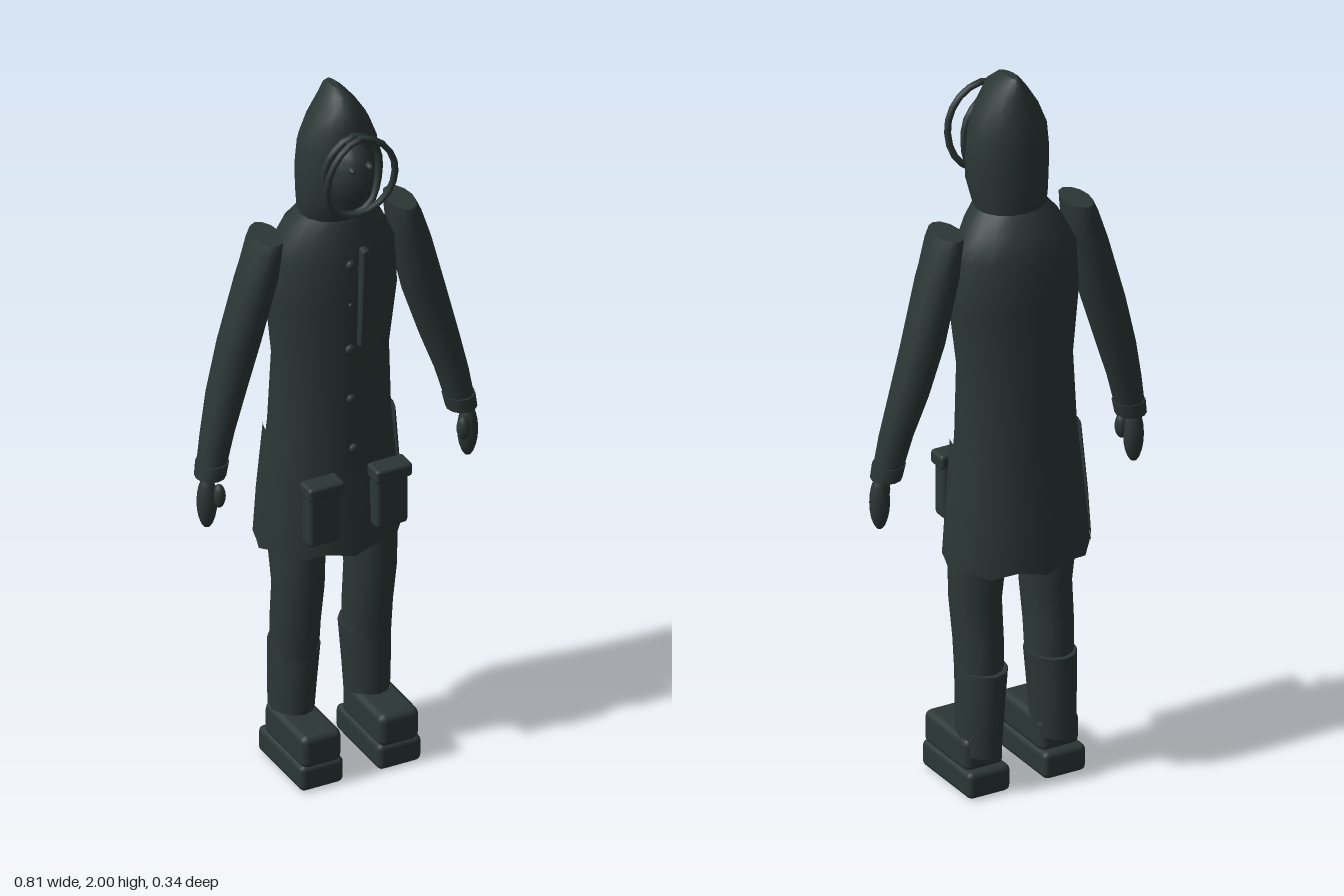
import * as THREE from 'three';
import { RoundedBoxGeometry } from 'three/addons/geometries/RoundedBoxGeometry.js';

const cloth = new THREE.MeshStandardMaterial({ color: 0x2b3735, side: THREE.DoubleSide });
cloth.name = 'dark green cloth';

// Skin over elliptical sections [y, centreX, centreZ, radiusX, radiusZ], listed bottom to top
function loft(sections, { sides = 16, from = 0, to = Math.PI * 2, capTop = true, capBottom = true, hem = 0 } = {}) {
  const full = to - from > 6.28;
  const pos = [], idx = [];
  const ring = ([y, cx, cz, rx, rz], wave) => {
    const start = pos.length / 3;
    for (let j = 0; j <= sides; j++) {
      const a = from + (to - from) * j / sides;
      pos.push(cx + Math.sin(a) * rx, y + (j % 2 ? wave : 0), cz + Math.cos(a) * rz);
    }
    return start;
  };
  const starts = sections.map((s, i) => ring(s, i === 0 ? hem : 0));
  for (let i = 0; i < starts.length - 1; i++) {
    for (let j = 0; j < sides; j++) {
      const next = full ? (j + 1) % sides : j + 1;
      const a = starts[i] + j, b = starts[i] + next, c = starts[i + 1] + next, d = starts[i + 1] + j;
      idx.push(a, b, c, a, c, d);
    }
  }
  const cap = (s, up) => {
    const r = ring(s, 0), centre = pos.length / 3;
    pos.push(s[1], s[0], s[2]);
    for (let j = 0; j < sides; j++) {
      idx.push(centre, up ? r + j : r + j + 1, up ? r + j + 1 : r + j);
    }
  };
  if (capTop) cap(sections[sections.length - 1], true);
  if (capBottom) cap(sections[0], false);
  const g = new THREE.BufferGeometry();
  g.setAttribute('position', new THREE.Float32BufferAttribute(pos, 3));
  g.setIndex(idx);
  g.computeVertexNormals();
  return g;
}

export function createModel() {
  const model = new THREE.Group();
  model.name = 'hoodedFigure';

  const add = (name, geometry, x = 0, y = 0, z = 0) => {
    const mesh = new THREE.Mesh(geometry, cloth);
    mesh.name = name;
    mesh.position.set(x, y, z);
    model.add(mesh);
    return mesh;
  };
  const ball = (name, x, y, z, rx, ry, rz) => {
    const mesh = add(name, new THREE.SphereGeometry(1, 14, 10), x, y, z);
    mesh.scale.set(rx, ry, rz);
    return mesh;
  };
  const box = (name, w, h, d, r, x, y, z) => add(name, new RoundedBoxGeometry(w, h, d, 2, r), x, y, z);
  const loop = (name, points, radius) => {
    const curve = new THREE.CatmullRomCurve3(points.map(p => new THREE.Vector3(...p)), true);
    return add(name, new THREE.TubeGeometry(curve, 20, radius, 6, true));
  };

  // Long coat, open below with an uneven hem
  add('coat', loft([
    [0.645, 0, -0.025, 0.2, 0.15],
    [0.8, 0, -0.025, 0.186, 0.14],
    [1.0, 0, -0.02, 0.166, 0.126],
    [1.2, 0, -0.015, 0.157, 0.125],
    [1.38, 0, -0.01, 0.178, 0.13],
    [1.52, 0, -0.01, 0.17, 0.128],
    [1.59, 0, -0.002, 0.135, 0.11],
    [1.64, 0, 0.01, 0.095, 0.088],
  ], { capBottom: false, hem: 0.018 }));

  // Hood
  add('hood', loft([
    [1.61, 0, 0.005, 0.09, 0.08],
    [1.65, 0, 0.01, 0.1, 0.09],
    [1.71, 0, 0.024, 0.109, 0.104],
    [1.78, 0, 0.022, 0.11, 0.101],
    [1.85, 0, 0.022, 0.104, 0.096],
    [1.91, 0, 0.024, 0.08, 0.085],
    [1.96, 0, 0.025, 0.048, 0.073],
    [1.988, 0, 0.012, 0.025, 0.052],
    [2.0, 0, 0, 0.01, 0.026],
  ]));

  // Raised hood rim and the inner edge of the opening
  loop('hoodRim', [
    [0, 1.915, 0.153], [0.06, 1.885, 0.158], [0.095, 1.82, 0.158], [0.09, 1.74, 0.147],
    [0.05, 1.69, 0.136], [0, 1.675, 0.132], [-0.05, 1.69, 0.136], [-0.09, 1.74, 0.147],
    [-0.095, 1.82, 0.158], [-0.06, 1.885, 0.158],
  ], 0.009);
  loop('hoodOpening', [
    [0, 1.9, 0.112], [0.065, 1.85, 0.108], [0.078, 1.77, 0.104],
    [0.045, 1.69, 0.118], [0, 1.67, 0.12], [-0.045, 1.69, 0.118],
    [-0.078, 1.77, 0.104], [-0.065, 1.85, 0.108],
  ], 0.01);

  // Face
  ball('face', 0, 1.785, 0.1, 0.06, 0.092, 0.06);

  // Buttons and zip strip
  for (const [y, r, z] of [[1.52, 0.014, 0.122], [1.4, 0.007, 0.122], [1.265, 0.014, 0.118], [1.12, 0.013, 0.124], [0.98, 0.013, 0.138]]) {
    ball('button', -0.012, y, z, r, r, r * 0.7);
  }
  const zip = box('zipStrip', 0.02, 0.3, 0.028, 0.006, 0.02, 1.42, 0.127);
  zip.rotation.x = 0.06;

  for (const s of [1, -1]) {
    const side = s > 0 ? 'left' : 'right';

    ball(side + 'Eye', s * 0.025, 1.825, 0.151, 0.009, 0.009, 0.016);

    // Sleeve, cuff and hand
    const arm = rows => loft(rows.map(([y, x, z, rx, rz]) => [y, s * x, z, rx, rz]), { sides: 12 });
    add(side + 'Sleeve', arm([
      [0.95, 0.36, 0.015, 0.038, 0.04],
      [1.05, 0.338, 0.008, 0.044, 0.045],
      [1.16, 0.307, -0.002, 0.052, 0.052],
      [1.3, 0.267, -0.006, 0.058, 0.056],
      [1.48, 0.22, 0, 0.054, 0.066],
      [1.57, 0.2, 0.002, 0.042, 0.069],
      [1.6, 0.192, 0.002, 0.036, 0.066],
    ]));
    add(side + 'Cuff', arm([
      [0.935, 0.362, 0.016, 0.041, 0.043],
      [0.975, 0.355, 0.014, 0.043, 0.045],
    ]));
    ball(side + 'Hand', s * 0.376, 0.865, 0.025, 0.027, 0.078, 0.026);
    ball(side + 'Thumb', s * 0.352, 0.885, 0.046, 0.017, 0.034, 0.018);

    // Curved panel over the hip
    add(side + 'HipPanel', loft([
      [0.67, 0, -0.025, 0.203, 0.152],
      [0.8, 0, -0.025, 0.194, 0.147],
      [0.99, 0, -0.02, 0.178, 0.136],
    ], { sides: 5, from: s * Math.PI / 2 - 0.55, to: s * Math.PI / 2 + 0.55, capTop: false, capBottom: false }));

    // Front pocket with flap
    box(side + 'Pocket', 0.092, 0.165, 0.05, 0.012, s * 0.097, 0.8, 0.122);
    box(side + 'PocketFlap', 0.105, 0.04, 0.06, 0.01, s * 0.097, 0.88, 0.128);

    // Trouser leg, boot shaft and boot
    add(side + 'Leg', arm([
      [0.3, 0.104, -0.015, 0.06, 0.072],
      [0.42, 0.104, -0.008, 0.062, 0.077],
      [0.53, 0.104, 0.007, 0.065, 0.079],
      [0.64, 0.104, -0.001, 0.07, 0.09],
      [0.78, 0.098, -0.01, 0.074, 0.09],
    ]));
    add(side + 'BootShaft', arm([
      [0.11, 0.11, -0.022, 0.054, 0.073],
      [0.22, 0.107, -0.021, 0.059, 0.077],
      [0.345, 0.102, -0.02, 0.065, 0.081],
    ]));
    box(side + 'BootSole', 0.125, 0.075, 0.245, 0.016, s * 0.112, 0.0375, 0.038);
    box(side + 'BootUpper', 0.115, 0.095, 0.22, 0.02, s * 0.112, 0.112, 0.05);
  }
  return model;
}
